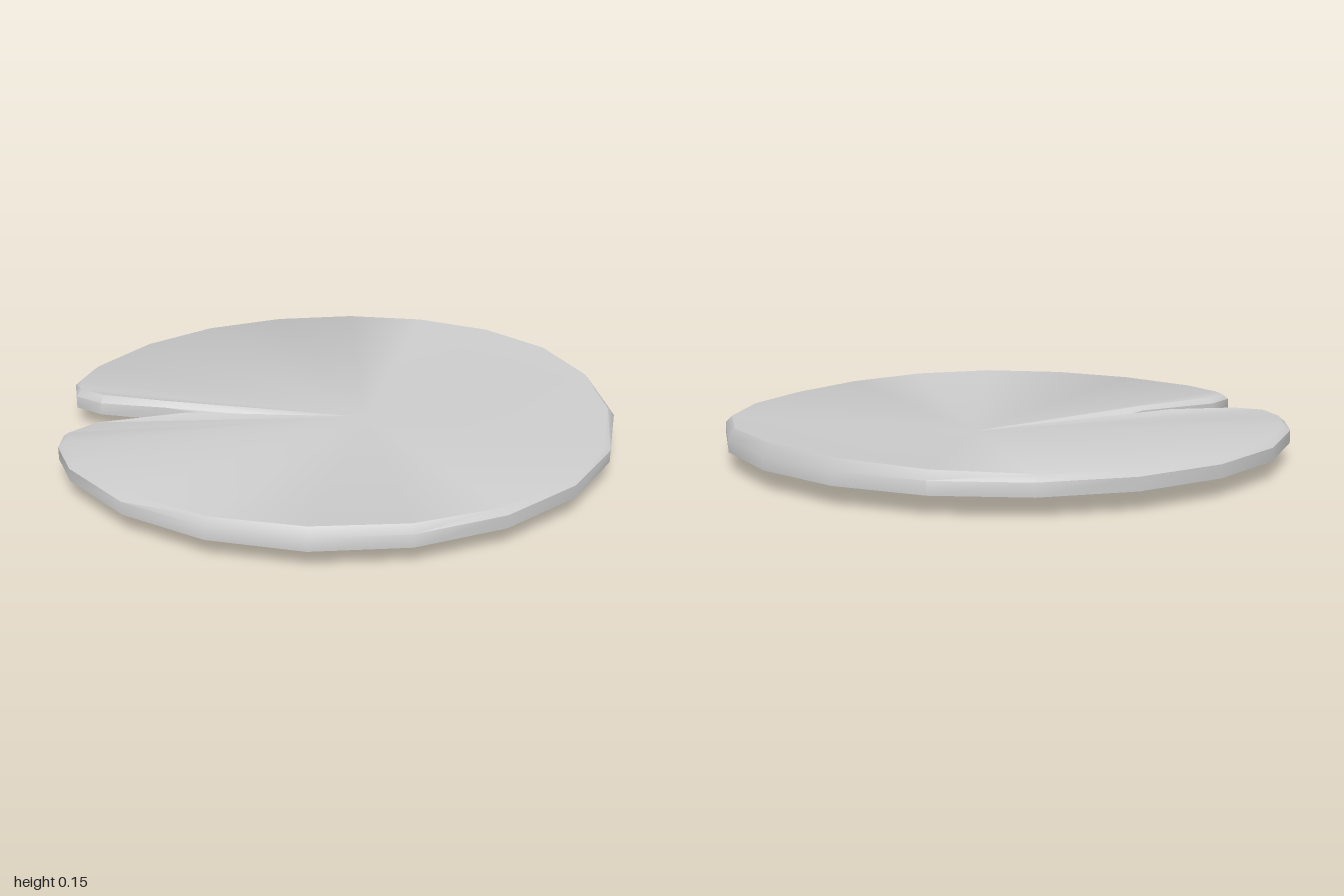
import * as THREE from 'three';
import { toCreasedNormals } from 'three/addons/utils/BufferGeometryUtils.js';

const RIM_TOP = 0.108, RIM_BOTTOM = 0.064, INSET = 0.023;
const HUB = [0.107, 0.065, 0.055], NOTCH_ROOT = [-0.1, 0.065, -0.05];

// Outline points [x, z, crown height]; the arc is part of a regular 20-gon
const arc = (k, h) => [Math.sin(k * Math.PI / 10), -Math.cos(k * Math.PI / 10), h];

function leafOutline() {
  const crown = [0.122, 0.123, 0.128, 0.136, 0.145, 0.15, 0.143, 0.131,
    0.121, 0.117, 0.124, 0.132, 0.135, 0.131, 0.126, 0.123];
  return [
    ...crown.map((h, k) => arc(k, h)),
    // front lobe beside the notch
    [-0.97, -0.18, 0.123], [-0.92, -0.26, 0.125], [-0.79, -0.29, 0.127], [-0.48, -0.22, 0.122],
    // notch tip
    [-0.2, -0.1, 0.05],
    // back lobe beside the notch
    [-0.52, -0.31, 0.125], [-0.7, -0.47, 0.132], [-0.75, -0.58, 0.132], [-0.71, -0.69, 0.128],
    arc(18, 0.125), arc(19, 0.122),
  ];
}

function leafGeometry() {
  const outline = leafOutline(), n = outline.length, tip = 20;

  // Three rings: bevelled crown, rim top and rim bottom
  const inner = [], upper = [], lower = [];
  outline.forEach(([x, z, h], i) => {
    const a = outline[(i + n - 1) % n], b = outline[(i + 1) % n];
    const tx = b[0] - a[0], tz = b[1] - a[1], len = Math.hypot(tx, tz);
    const isTip = i === tip, besideTip = Math.abs(i - tip) === 1;
    inner.push(isTip ? NOTCH_ROOT : [x - tz / len * INSET, h, z + tx / len * INSET]);
    upper.push([x, isTip ? h : RIM_TOP, z]);
    lower.push([x, isTip ? 0 : besideTip ? 0.06 : RIM_BOTTOM, z]);
  });

  const pos = [];
  const tri = (...corners) => corners.forEach(c => pos.push(...c));
  for (let i = 0; i < n; i++) {
    const j = (i + 1) % n;
    // Leaf surface: a shallow dish fanning out from the hub
    tri(HUB, inner[j], inner[i]);
    // Bevel and hanging rim
    for (const [top, bottom] of [[inner, upper], [upper, lower]]) {
      tri(top[i], top[j], bottom[j]);
      tri(top[i], bottom[j], bottom[i]);
    }
  }
  const geo = new THREE.BufferGeometry();
  geo.setAttribute('position', new THREE.Float32BufferAttribute(pos, 3));
  return toCreasedNormals(geo, 0.85);
}

export function createModel() {
  const group = new THREE.Group();
  group.name = 'lilyPad';
  // Open-bottomed thin shell
  const leaf = new THREE.Mesh(leafGeometry(),
    new THREE.MeshStandardMaterial({ color: 0xcccccc, side: THREE.DoubleSide }));
  leaf.name = 'leaf';
  group.add(leaf);
  return group;
}
